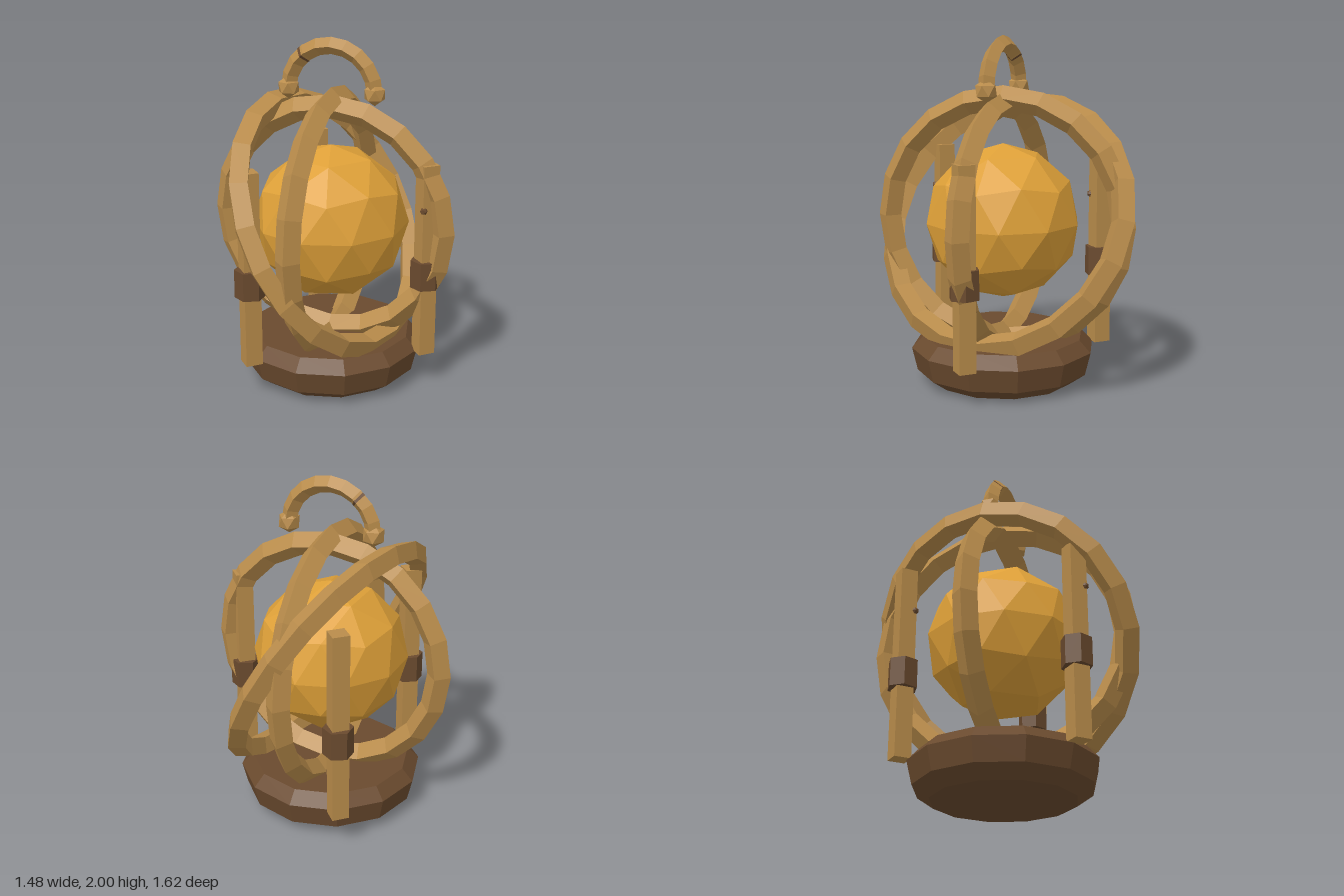
import * as THREE from 'three';

export function createModel() {
  const model = new THREE.Group();
  const paint = (name, color) => {
    const m = new THREE.MeshStandardMaterial({ color, flatShading: true });
    m.name = name;
    return m;
  };
  const brass = paint('brass', 0xb98c4b);
  const gold = paint('gold', 0xdea038);
  const wood = paint('dark wood', 0x6a4a2e);

  const add = (name, geometry, material, x = 0, y = 0, z = 0) => {
    const mesh = new THREE.Mesh(geometry, material);
    mesh.name = name;
    mesh.position.set(x, y, z);
    model.add(mesh);
    return mesh;
  };
  const centreY = 0.938;

  // Twelve-sided bevelled base
  const profile = [[0, 0], [0.41, 0], [0.505, 0.067], [0.537, 0.2], [0.47, 0.27], [0, 0.27]];
  add('base', new THREE.LatheGeometry(profile.map(([r, y]) => new THREE.Vector2(r, y)), 12), wood);

  // Faceted globe, turned so one vertex points straight up
  const globe = new THREE.IcosahedronGeometry(0.45, 1);
  globe.rotateZ(-0.5536);
  add('globe', globe, gold, 0, centreY, 0);

  // Three nested rings with a diamond section: radius, turn about y, tilt about z
  const rings = [
    ['innerRing', 0.67, 0, 0],
    ['middleRing', 0.71, 1.622, 0],
    ['outerRing', 0.75, 1.417, 0.496],
  ];
  for (const [name, radius, turn, tilt] of rings) {
    const ring = new THREE.TorusGeometry(radius, 0.07, 4, 20);
    ring.rotateY(turn);
    ring.rotateZ(tilt);
    add(name, ring, brass, 0, centreY, 0);
  }

  // Three posts around the base, each with a hexagonal collar and a small peg
  for (let i = 0; i < 3; i++) {
    const a = (i * Math.PI * 2) / 3;
    const x = 0.575 * Math.cos(a);
    const z = 0.575 * Math.sin(a);
    add('post', new THREE.CylinderGeometry(0.069, 0.069, 1.135, 4), brass, x, 0.7675, z);
    add('collar', new THREE.CylinderGeometry(0.087, 0.087, 0.165, 6), wood, x, 0.69, z);
    add('peg', new THREE.IcosahedronGeometry(0.022, 0), wood, x, 1.08, z + 0.06);
  }

  // Carrying handle with a dark band and a knob at each end
  const handleY = 1.695;
  add('handle', new THREE.TorusGeometry(0.257, 0.048, 4, 10, Math.PI), brass, 0, handleY, 0);
  const band = new THREE.TorusGeometry(0.255, 0.049, 4, 1, 0.06);
  band.rotateZ(2.25);
  add('handleBand', band, wood, 0, handleY, 0);
  for (const side of [-1, 1]) {
    const knob = new THREE.IcosahedronGeometry(0.067, 0);
    knob.rotateZ(-0.5536);
    add('handleKnob', knob, brass, side * 0.258, 1.7, 0);
  }

  return model;
}
